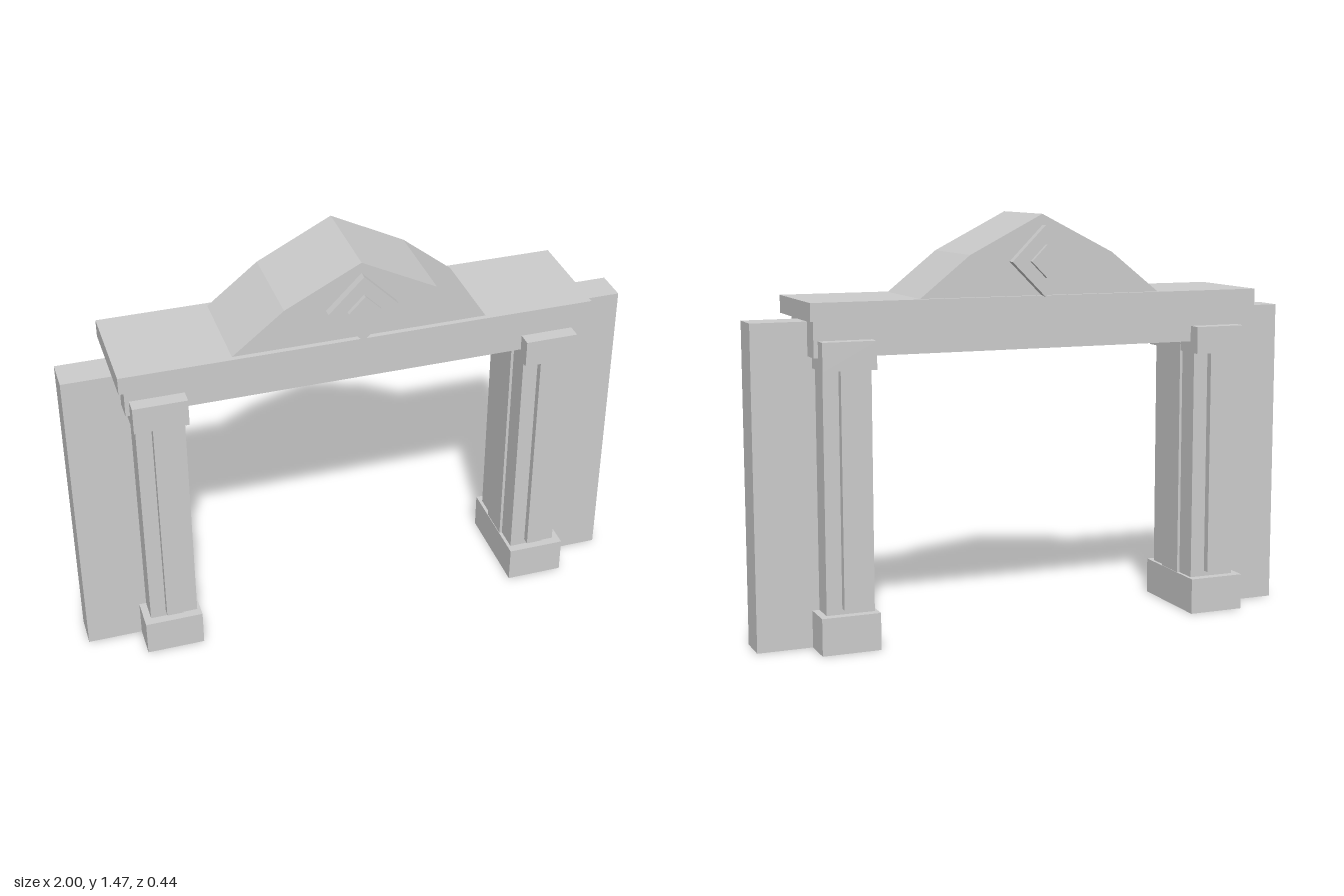
import * as THREE from 'three';

export function createModel() {
  const group = new THREE.Group();
  group.name = 'gateway';
  const stone = new THREE.MeshStandardMaterial({ color: 0xcccccc });
  stone.name = 'pale grey stone';

  const add = (name, geometry, parent = group) => {
    const mesh = new THREE.Mesh(geometry, stone);
    mesh.name = name;
    parent.add(mesh);
    return mesh;
  };

  // Box spanning x0..x1 and y0..y1, centred on z = 0
  const block = (name, x0, x1, y0, y1, halfDepth, parent) =>
    add(name, new THREE.BoxGeometry(x1 - x0, y1 - y0, halfDepth * 2), parent)
      .position.set((x0 + x1) / 2, (y0 + y1) / 2, 0);

  // Outline in the front plane, extruded evenly to both sides of z = 0
  const slab = (name, points, halfDepth) => {
    const shape = new THREE.Shape(points.map(([x, y]) => new THREE.Vector2(x, y)));
    const geometry = new THREE.ExtrudeGeometry(shape, { depth: halfDepth * 2, bevelEnabled: false });
    geometry.translate(0, 0, -halfDepth);
    return add(name, geometry);
  };

  // Wall piers with pilasters, one on each side
  for (const side of [1, -1]) {
    const pier = new THREE.Group();
    pier.name = side > 0 ? 'leftPier' : 'rightPier';
    group.add(pier);
    const part = (name, inner, outer, y0, y1, halfDepth) =>
      block(name, Math.min(side * inner, side * outer), Math.max(side * inner, side * outer),
        y0, y1, halfDepth, pier);
    part('wall', 0.6, 1, 0, 1.12, 0.06);
    part('base', 0.598, 0.805, 0, 0.13, 0.18);
    part('shaft', 0.61, 0.78, 0.13, 0.965, 0.148);
    part('rib', 0.665, 0.725, 0.15, 0.965, 0.175);
    part('capital', 0.602, 0.79, 0.963, 1.06, 0.186);
  }

  // Lintel and cornice
  block('lintel', -0.805, 0.805, 1.004, 1.13, 0.135);
  block('cornice', -0.83, 0.83, 1.13, 1.192, 0.192);

  // Pediment with kinked slopes
  slab('pediment', [[-0.445, 1.192], [0.445, 1.192], [0.265, 1.335], [0, 1.47], [-0.265, 1.335]], 0.173);

  // Stepped diamond ornament, showing on both faces
  const diamond = (name, r, halfDepth) =>
    slab(name, [[0, 1.31 - r], [r, 1.31], [0, 1.31 + r], [-r, 1.31]], halfDepth);
  diamond('diamondPlate', 0.122, 0.202);
  diamond('diamondBoss', 0.057, 0.218);

  return group;
}
